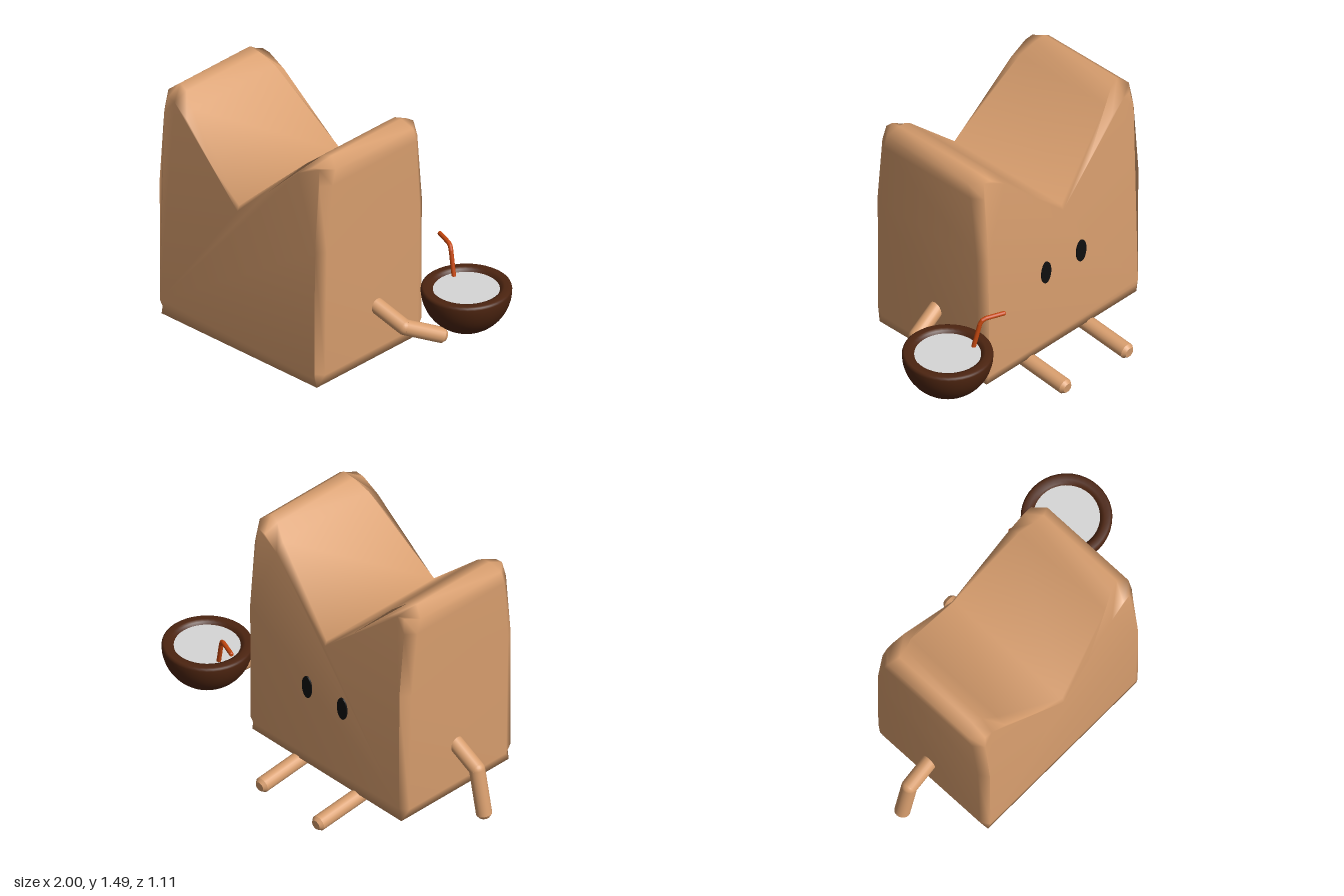
import * as THREE from 'three';

const mat = (name, color, extra = {}) => new THREE.MeshStandardMaterial({ name, color, ...extra });

function add(parent, name, geometry, material) {
  const mesh = new THREE.Mesh(geometry, material);
  mesh.name = name;
  parent.add(mesh);
  return mesh;
}

// Block body with a V notch: four outline loops (front face, front rim, back rim, back face)
function bodyGeometry() {
  const cx = -0.145, cz = 0.14;
  // half outlines, bottom to notch: [half width, y, half depth]
  const face = [[0.562, 0.16, 0.405], [0.572, 0.2, 0.415], [0.575, 0.95, 0.415], [0.575, 1.35, 0.38],
    [0.56, 1.44, 0.365], [0.51, 1.432, 0.368], [0.41, 1.365, 0.377], [0.2, 1.165, 0.397], [0, 0.98, 0.414]];
  const rim = [[0.575, 0.11, 0.4], [0.597, 0.18, 0.36], [0.612, 0.95, 0.36], [0.62, 1.35, 0.325],
    [0.62, 1.44, 0.3], [0.56, 1.49, 0.27], [0.5, 1.47, 0.285], [0.42, 1.405, 0.32], [0, 1.01, 0.4]];
  const loop = (half, side) => {
    const mirrored = half.slice(0, -1).reverse().map(([x, y, d]) => [-x, y, d]);
    return [...half, ...mirrored].map(([x, y, d]) => [cx + x, y, cz + side * d]);
  };
  const loops = [loop(face, 1), loop(rim, 1), loop(rim, -1), loop(face, -1)];
  const n = loops[0].length, index = [];
  for (let r = 0; r < 3; r++) {
    for (let i = 0; i < n; i++) {
      const j = (i + 1) % n, a = r * n, b = a + n;
      index.push(a + i, b + i, a + j, b + i, b + j, a + j);
    }
  }
  const contour = loops[0].map(([x, y]) => new THREE.Vector2(x, y));
  for (const [a, b, c] of THREE.ShapeUtils.triangulateShape(contour, [])) {
    index.push(a, b, c, 3 * n + a, 3 * n + c, 3 * n + b);
  }
  const geometry = new THREE.BufferGeometry();
  geometry.setAttribute('position', new THREE.Float32BufferAttribute(loops.flat(2), 3));
  geometry.setIndex(index);
  geometry.computeVertexNormals();
  return geometry;
}

// Bent rod: cylinders joined by spheres, with a small bevelled tip
function rod(name, points, radius, material) {
  const group = new THREE.Group();
  group.name = name;
  const pts = points.map((p) => new THREE.Vector3(...p));
  const up = new THREE.Vector3(0, 1, 0);
  const segment = (label, a, b, r0, r1) => {
    const dir = b.clone().sub(a);
    const mesh = add(group, label, new THREE.CylinderGeometry(r1, r0, dir.length(), 20), material);
    mesh.position.copy(a).addScaledVector(dir, 0.5);
    mesh.quaternion.setFromUnitVectors(up, dir.normalize());
  };
  for (let i = 0; i < pts.length - 1; i++) {
    segment('section', pts[i], pts[i + 1], radius, radius);
    if (i > 0) add(group, 'joint', new THREE.SphereGeometry(radius, 20, 14), material).position.copy(pts[i]);
  }
  const end = pts[pts.length - 1];
  const dir = end.clone().sub(pts[pts.length - 2]).normalize();
  segment('tip', end, end.clone().addScaledVector(dir, radius * 0.45), radius, radius * 0.65);
  return group;
}

export function createModel() {
  const model = new THREE.Group();
  model.name = 'notchedBlockFigure';
  const tan = mat('tan', 0xd89e6e);
  const brown = mat('dark brown', 0x4c2410);
  const milk = mat('milk white', 0xd6d6d6);
  const orange = mat('straw orange', 0xc4470f);
  const black = mat('eye black', 0x101010);

  add(model, 'body', bodyGeometry(), tan);

  // Arms and legs
  model.add(rod('rightArm', [[-0.68, 0.47, 0.13], [-0.9, 0.355, 0.13], [-0.955, 0.085, 0.13]], 0.044, tan));
  model.add(rod('leftArm', [[0.4, 0.465, 0.105], [0.63, 0.37, 0.07], [0.73, 0.28, -0.12]], 0.044, tan));
  for (const [name, x, z] of [['rightLeg', -0.365, -0.535], ['leftLeg', 0.09, -0.515]]) {
    model.add(rod(name, [[x, 0.17, -0.03], [x, 0.083, -0.19], [x, 0.048, z]], 0.044, tan));
  }

  // Eyes on the face
  for (const [name, side] of [['rightEye', -1], ['leftEye', 1]]) {
    const eye = add(model, name, new THREE.CylinderGeometry(1, 1, 0.008, 28), black);
    eye.rotation.x = Math.PI / 2;
    eye.scale.set(0.037, 1, 0.07);
    eye.position.set(-0.145 + side * 0.135, 0.635, -0.276);
  }

  // Bowl cup with its drink and straw
  const cup = new THREE.Group();
  cup.name = 'cup';
  cup.position.set(0.753, 0, -0.283);
  model.add(cup);
  const profile = [];
  for (let i = 0; i <= 14; i++) {
    const a = (i / 14) * Math.PI / 2;
    profile.push(new THREE.Vector2(0.246 * Math.sin(a), 0.51 - 0.245 * Math.cos(a)));
  }
  for (const [r, y] of [[0.243, 0.522], [0.234, 0.528], [0.205, 0.528], [0.188, 0.522], [0.177, 0.5]]) {
    profile.push(new THREE.Vector2(r, y));
  }
  add(cup, 'bowl', new THREE.LatheGeometry(profile, 40), brown);
  const drink = add(cup, 'drink', new THREE.CircleGeometry(0.18, 40), milk);
  drink.rotation.x = -Math.PI / 2;
  drink.position.y = 0.508;

  model.add(rod('straw', [[0.615, 0.48, -0.334], [0.575, 0.645, -0.35], [0.563, 0.668, -0.356],
    [0.543, 0.676, -0.364], [0.44, 0.676, -0.404]], 0.0125, orange));
  return model;
}
